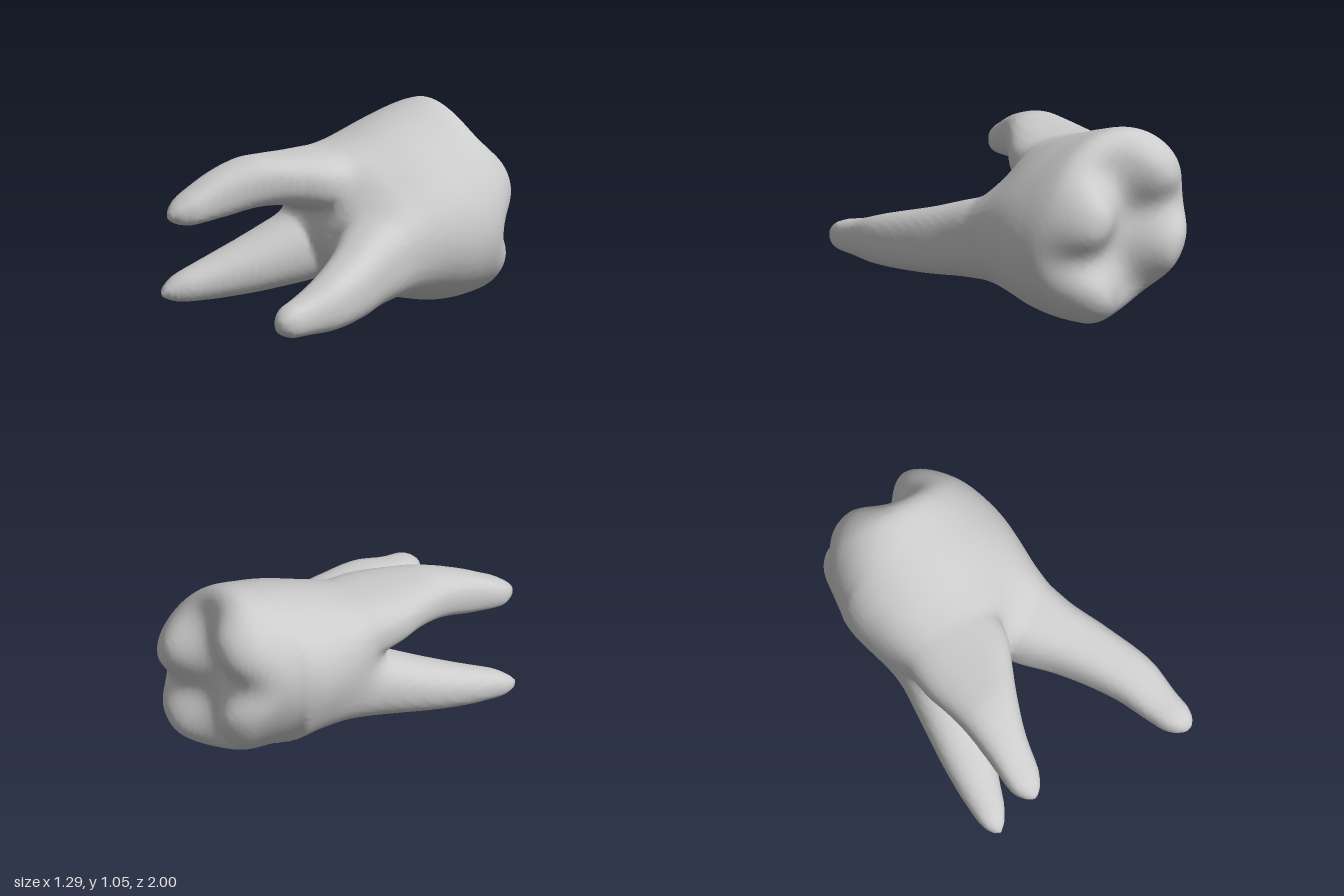
import * as THREE from 'three';

const enamel = new THREE.MeshStandardMaterial({ color: 0xcccccc });
enamel.name = 'enamel grey';

// Blends that round off joints and edges
const smin = (a, b, k) => {
  const h = Math.max(k - Math.abs(a - b), 0) / k;
  return Math.min(a, b) - h * h * k / 4;
};
const smax = (a, b, k) => -smin(-a, -b, k);

// Tapering form along z from sections [z, centre x, centre y, radius x, radius y],
// rounded off over the last stretch before z = tip
function loft(sections, tip, round, power, skew = 0) {
  const curve = new THREE.CubicInterpolant(
    sections.map(s => s[0]), sections.flatMap(s => s.slice(1)), 4, new Float64Array(4));
  return (x, y, z) => {
    const [cx, cy, w, h] = curve.evaluate(z);
    const t = Math.min(Math.max((z - tip + round) / round, 0), 1);
    const taper = Math.sqrt(1 - t * t);
    const rx = Math.max(w * taper, 0.012), ry = Math.max(h * taper, 0.012);
    const u = (x - cx) / rx, v = (y - cy) / ry;
    let q = Math.pow(Math.abs(u) ** power + Math.abs(v) ** power, 1 / power);
    // Skew stretches the section along one diagonal
    if (skew) q /= 1 - skew * 2 * u * v / (u * u + v * v + 1e-9);
    return Math.max((q - 1) * Math.min(rx, ry), z - tip);
  };
}

const crown = loft([
  [-1.0, -0.04, 0.50, 0.36, 0.43],
  [-0.9, -0.04, 0.505, 0.43, 0.485],
  [-0.75, -0.03, 0.515, 0.48, 0.515],
  [-0.5, -0.04, 0.49, 0.525, 0.485],
  [-0.3, -0.04, 0.478, 0.495, 0.425],
  [-0.1, -0.04, 0.46, 0.41, 0.33],
  [0.1, -0.03, 0.42, 0.3, 0.23]], 0.1, 0.25, 2, 0.105);

const roots = [
  // Upper root
  loft([
    [-0.4, -0.2, 0.62, 0.28, 0.23],
    [-0.1, -0.23, 0.675, 0.285, 0.18],
    [0.1, -0.25, 0.70, 0.275, 0.155],
    [0.25, -0.285, 0.725, 0.225, 0.135],
    [0.4, -0.325, 0.727, 0.175, 0.132],
    [0.6, -0.375, 0.68, 0.125, 0.122],
    [0.8, -0.41, 0.62, 0.095, 0.082],
    [0.9, -0.42, 0.6, 0.07, 0.06]], 0.9, 0.13, 2.5),
  // Lower root on the right
  loft([
    [-0.4, -0.22, 0.4, 0.25, 0.25],
    [-0.1, -0.3, 0.35, 0.22, 0.22],
    [0.1, -0.36, 0.29, 0.2, 0.185],
    [0.3, -0.43, 0.23, 0.17, 0.15],
    [0.5, -0.5, 0.18, 0.13, 0.115],
    [0.7, -0.56, 0.14, 0.085, 0.075],
    [0.8, -0.585, 0.12, 0.06, 0.05]], 0.8, 0.13, 2.2),
  // Lower root on the left
  loft([
    [-0.4, 0.12, 0.4, 0.27, 0.26],
    [-0.1, 0.2, 0.35, 0.25, 0.24],
    [0.1, 0.27, 0.315, 0.22, 0.215],
    [0.3, 0.38, 0.275, 0.18, 0.185],
    [0.6, 0.5, 0.232, 0.14, 0.14],
    [0.8, 0.53, 0.205, 0.107, 0.1],
    [1.0, 0.565, 0.19, 0.08, 0.075]], 1.0, 0.12, 2.6)];

// Cusps on the chewing surface: [x, y, height]
const cusps = [
  [0.21, 0.6, 0.2], [0.2, 0.16, 0.17], [-0.28, 0.83, 0.15], [-0.35, 0.38, 0.18]];

function field(x, y, z) {
  let d = crown(x, y, z);
  for (const root of roots) d = smin(d, Math.max(root(x, y, z), -0.5 - z), 0.12);
  let end = -0.8;
  for (const [cx, cy, h] of cusps) {
    end -= h * Math.exp(-((((x - cx) ** 2 + (y - cy) ** 2) / 0.042) ** 1.3));
  }
  return smax(d, (end - z) * 0.8, 0.1);
}

// Skins the field with quads: one vertex per grid cell the surface crosses
function skin(f, min, max, step) {
  const n = [0, 1, 2].map(a => Math.ceil((max[a] - min[a]) / step) + 1);
  const stride = [1, n[0], n[0] * n[1]];
  const at = (i, a) => min[a] + i * step;
  const values = new Float32Array(n[0] * n[1] * n[2]);
  const each = (fn, trim) => {
    for (let k = 0; k < n[2] - trim; k++)
      for (let j = 0; j < n[1] - trim; j++)
        for (let i = 0; i < n[0] - trim; i++)
          fn([i, j, k], i + j * stride[1] + k * stride[2]);
  };
  each((c, id) => { values[id] = f(at(c[0], 0), at(c[1], 1), at(c[2], 2)); }, 0);

  const positions = [], index = [], vertexOf = new Map();
  each((c, id) => {
    const sum = [0, 0, 0];
    let count = 0;
    for (let a = 0; a < 3; a++) {
      const b = (a + 1) % 3, e = (a + 2) % 3;
      for (let m = 0; m < 4; m++) {
        const ob = m & 1, oe = m >> 1;
        const s = id + ob * stride[b] + oe * stride[e];
        const v0 = values[s], v1 = values[s + stride[a]];
        if ((v0 < 0) === (v1 < 0)) continue;
        sum[a] += v0 / (v0 - v1);
        sum[b] += ob;
        sum[e] += oe;
        count++;
      }
    }
    if (!count) return;
    const p = sum.map((s, a) => at(c[a] + s / count, a));
    // Pull the vertex onto the surface
    const d = f(...p), eps = 0.004;
    const g = [0, 1, 2].map(a => {
      const q = p.slice();
      q[a] += eps;
      return (f(...q) - d) / eps;
    });
    const len = Math.hypot(...g) || 1;
    const move = Math.max(-step / 3, Math.min(step / 3, d / len));
    vertexOf.set(id, positions.length / 3);
    positions.push(...p.map((v, a) => v - move * g[a] / len));
  }, 1);

  each((c, id) => {
    for (let a = 0; a < 3; a++) {
      const inside = values[id] < 0;
      if (inside === (values[id + stride[a]] < 0)) continue;
      const b = stride[(a + 1) % 3], e = stride[(a + 2) % 3];
      const [p, q, r, s] = [id, id - b, id - b - e, id - e].map(i => vertexOf.get(i));
      if (inside) index.push(p, q, r, p, r, s);
      else index.push(p, r, q, p, s, r);
    }
  }, 1);

  const geometry = new THREE.BufferGeometry();
  geometry.setAttribute('position', new THREE.Float32BufferAttribute(positions, 3));
  geometry.setIndex(index);
  return geometry;
}

export function createModel() {
  const group = new THREE.Group();
  group.name = 'molarTooth';
  const geometry = skin(field, [-0.75, -0.12, -1.15], [0.75, 1.16, 1.1], 0.024);

  // Centre it and stand it on the ground
  geometry.computeBoundingBox();
  const { min, max } = geometry.boundingBox;
  geometry.translate(-(min.x + max.x) / 2, -min.y, -(min.z + max.z) / 2);
  geometry.computeVertexNormals();

  const tooth = new THREE.Mesh(geometry, enamel);
  tooth.name = 'crownAndRoots';
  group.add(tooth);
  return group;
}
